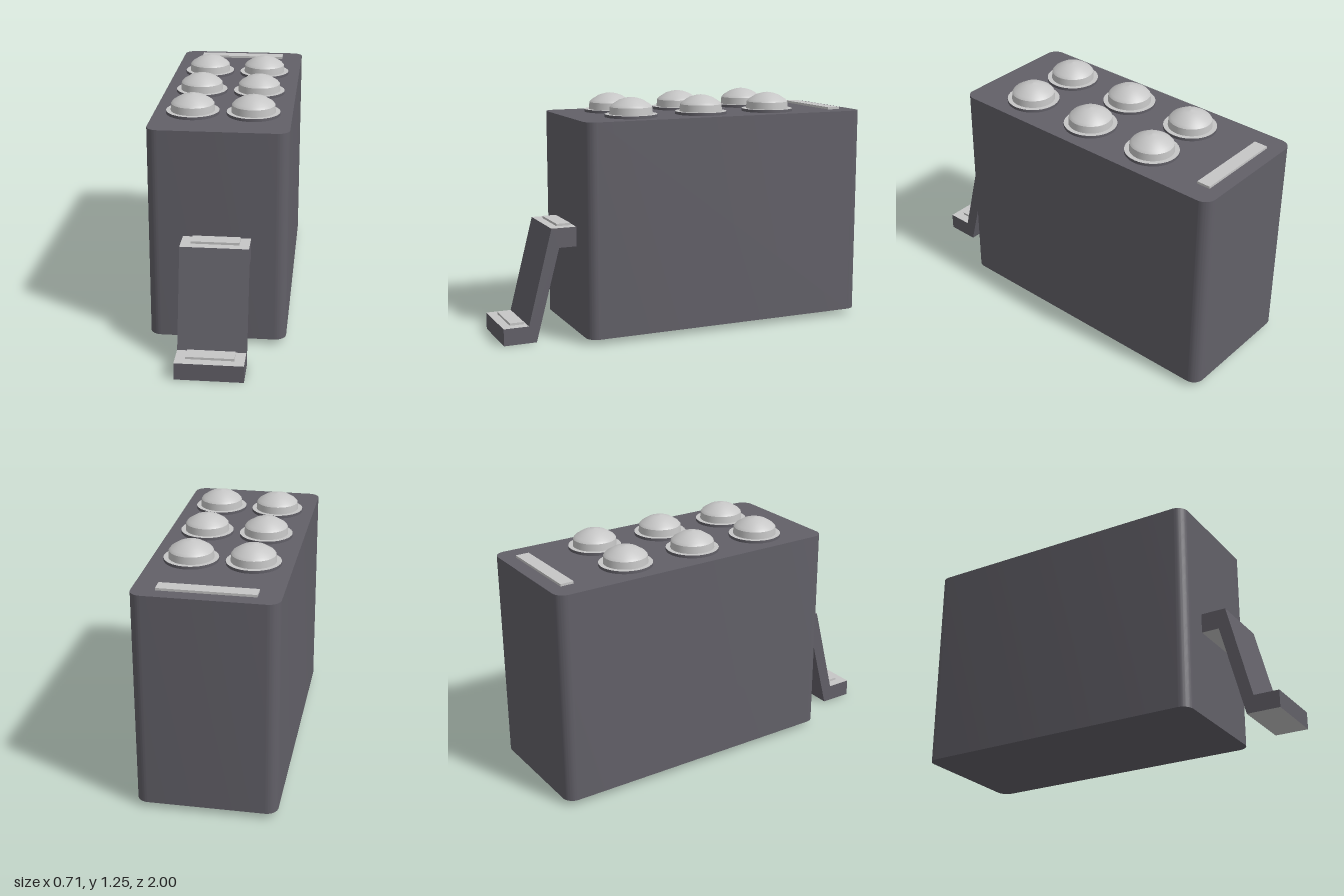
import * as THREE from 'three';
import { toCreasedNormals } from 'three/addons/utils/BufferGeometryUtils.js';

export function createModel() {
  const model = new THREE.Group();
  model.name = 'pedalBox';

  const dark = new THREE.MeshStandardMaterial({ color: 0x626068 });
  dark.name = 'dark grey';
  const light = new THREE.MeshStandardMaterial({ color: 0xc6c6c6 });
  light.name = 'light grey';

  function add(name, geometry, material, x = 0, y = 0, z = 0, parent = model) {
    const mesh = new THREE.Mesh(geometry, material);
    mesh.name = name;
    mesh.position.set(x, y, z);
    parent.add(mesh);
    return mesh;
  }

  // Case: rounded rectangle footprint, extruded upwards
  const w = 0.355, d = 0.8, r = 0.06;
  const footprint = new THREE.Shape();
  footprint.absarc(w - r, d - r, r, 0, Math.PI / 2);
  footprint.absarc(-w + r, d - r, r, Math.PI / 2, Math.PI);
  footprint.absarc(-w + r, -d + r, r, Math.PI, Math.PI * 1.5);
  footprint.absarc(w - r, -d + r, r, Math.PI * 1.5, Math.PI * 2);
  const caseGeo = new THREE.ExtrudeGeometry(footprint, { depth: 1.12, bevelEnabled: false, curveSegments: 8 });
  caseGeo.rotateX(-Math.PI / 2);
  add('case', toCreasedNormals(caseGeo, 0.6), dark, 0, 0.03, -0.2);

  // Domed buttons: dark-sided ring, straight band and shallow cap
  const ringGeo = new THREE.CylinderGeometry(0.1375, 0.1375, 0.015, 40);
  const bandGeo = new THREE.CylinderGeometry(0.111, 0.114, 0.037, 40, 1, true);
  const capProfile = [[0.111, 0], [0.1, 0.013], [0.063, 0.036], [0.032, 0.046], [0, 0.051]];
  const capGeo = new THREE.LatheGeometry(capProfile.map(([x, y]) => new THREE.Vector2(x, y)), 40);
  for (const z of [-0.515, -0.115, 0.285]) {
    for (const x of [-0.156, 0.156]) {
      const button = new THREE.Group();
      button.name = 'button';
      button.position.set(x, 1.15, z);
      model.add(button);
      add('buttonRing', ringGeo, [dark, light, dark], 0, 0.0075, 0, button);
      add('buttonBand', bandGeo, light, 0, 0.0335, 0, button);
      add('buttonCap', capGeo, light, 0, 0.052, 0, button);
    }
  }

  // Strip at the back of the top
  add('topStrip', new THREE.BoxGeometry(0.48, 0.012, 0.072), light, 0, 1.156, -0.89);

  // Lever: side profile in (z, y), extruded across the width
  const leverWidth = 0.346;
  const profile = [[1, 0], [1, 0.09], [0.865, 0.09], [0.735, 0.594], [0.6, 0.594],
    [0.6, 0.49], [0.695, 0.49], [0.825, 0]];
  const leverShape = new THREE.Shape(profile.map(([z, y]) => new THREE.Vector2(z, y)));
  const leverGeo = new THREE.ExtrudeGeometry(leverShape, { depth: leverWidth, bevelEnabled: false });
  leverGeo.rotateY(-Math.PI / 2);
  leverGeo.translate(leverWidth / 2, 0, 0);
  // Level faces are light, all others dark
  const normals = leverGeo.attributes.normal;
  leverGeo.clearGroups();
  for (let i = 0; i < normals.count; i += 3) {
    leverGeo.addGroup(i, 3, Math.abs(normals.getY(i)) > 0.99 ? 1 : 0);
  }
  add('lever', leverGeo, [dark, light]);

  // Raised pads on the two lever steps
  const padGeo = new THREE.BoxGeometry(0.243, 0.012, 0.075);
  add('upperPad', padGeo, light, 0, 0.6, 0.653);
  add('lowerPad', padGeo, light, 0, 0.096, 0.915);

  return model;
}
